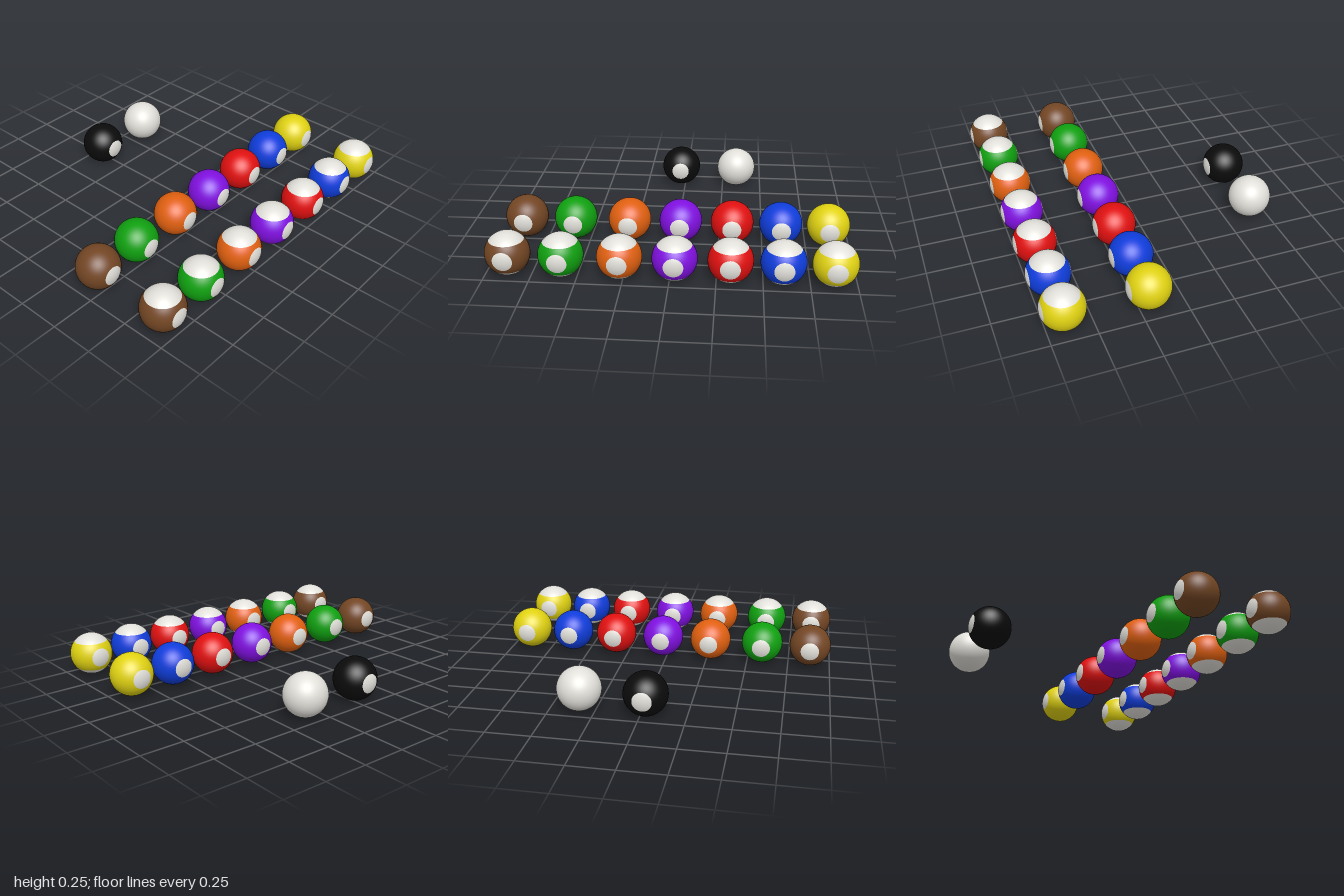
import * as THREE from 'three';

const R = 0.123;

const paint = (name, color) => {
  const m = new THREE.MeshStandardMaterial({ color });
  m.name = name;
  return m;
};

export function createModel() {
  const model = new THREE.Group();
  model.name = 'poolBalls';
  const white = paint('white', 0xe2e0da);
  const black = paint('black', 0x0b0b0b);

  // One colour per row, from back to front
  const rows = [
    [paint('yellow', 0xe0d212), -0.877],
    [paint('blue', 0x0f3ddb), -0.605],
    [paint('red', 0xe01010), -0.325],
    [paint('purple', 0x8010e0), -0.027],
    [paint('orange', 0xe06010), 0.27],
    [paint('green', 0x10a010), 0.587],
    [paint('brown', 0x734624), 0.877],
  ];

  // Shared surfaces: full sphere, polar cap, middle band and number spot
  const capAngle = THREE.MathUtils.degToRad(50);
  const spotAngle = THREE.MathUtils.degToRad(26);
  const full = new THREE.SphereGeometry(R, 48, 32);
  const cap = new THREE.SphereGeometry(R, 48, 12, 0, Math.PI * 2, 0, capAngle);
  const band = new THREE.SphereGeometry(R, 48, 20, 0, Math.PI * 2, capAngle, Math.PI - 2 * capAngle);
  const spot = new THREE.SphereGeometry(R * 1.005, 40, 8, 0, Math.PI * 2, 0, spotAngle);

  const add = (parent, name, geometry, material, rotX = 0, rotZ = 0) => {
    const mesh = new THREE.Mesh(geometry, material);
    mesh.name = name;
    mesh.rotation.set(rotX, 0, rotZ);
    parent.add(mesh);
  };

  const makeBall = (name, material, x, z, { striped = false, spots = true } = {}) => {
    const ball = new THREE.Group();
    ball.name = name;
    ball.position.set(x, R, z);
    if (striped) {
      add(ball, 'stripe', band, material);
      add(ball, 'topCap', cap, white);
      add(ball, 'bottomCap', cap, white, Math.PI);
    } else {
      add(ball, 'body', full, material);
    }
    // White round spots on both x sides
    if (spots) {
      add(ball, 'leftSpot', spot, white, 0, -Math.PI / 2);
      add(ball, 'rightSpot', spot, white, 0, Math.PI / 2);
    }
    model.add(ball);
  };

  for (const [material, z] of rows) {
    makeBall(`${material.name}SolidBall`, material, 0.19, z);
    makeBall(`${material.name}StripedBall`, material, 0.652, z, { striped: true });
  }
  makeBall('blackBall', black, -0.652, 0.027);
  makeBall('cueBall', white, -0.652, -0.338, { spots: false });

  return model;
}
